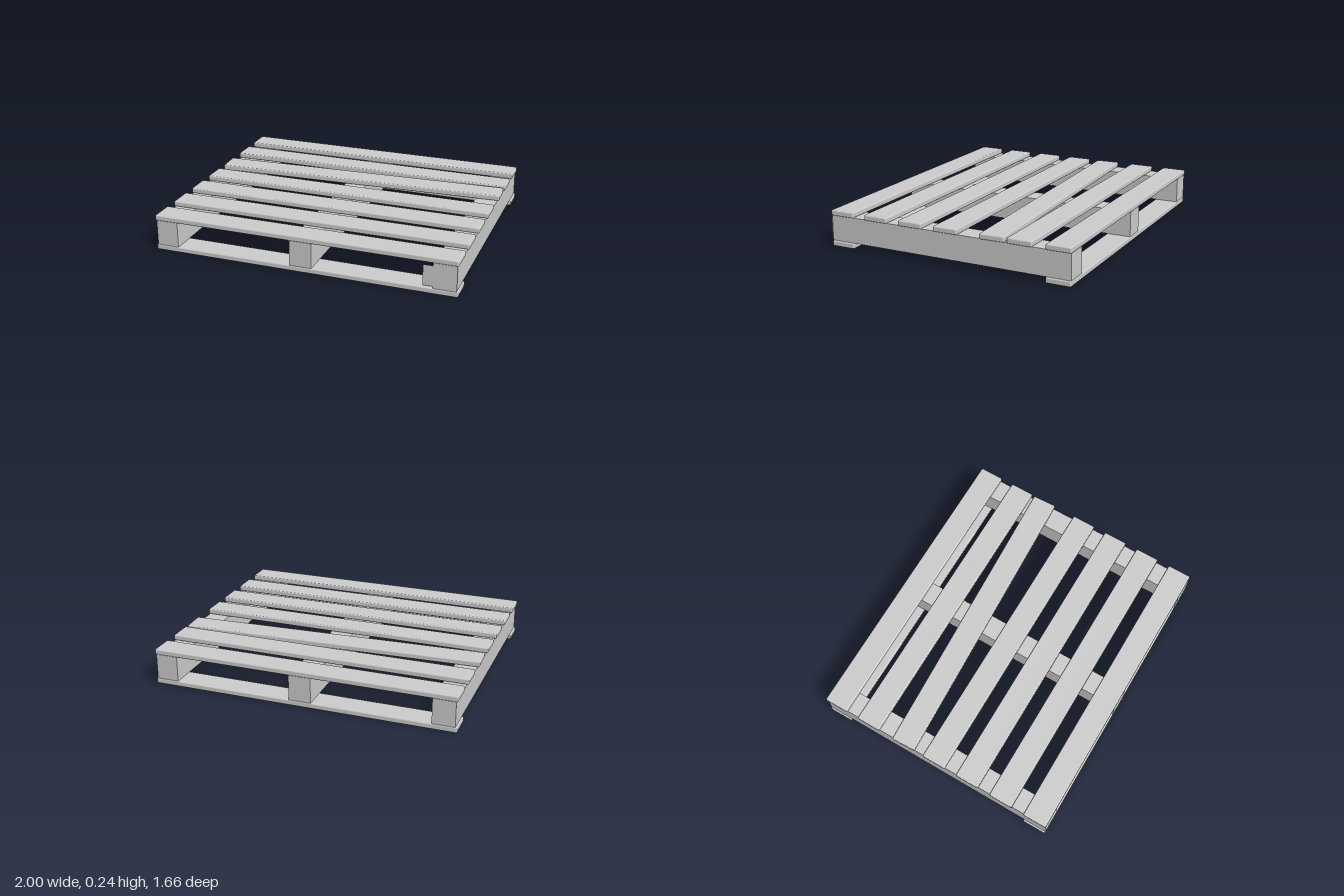
import * as THREE from 'three';
import { RoundedBoxGeometry } from 'three/addons/geometries/RoundedBoxGeometry.js';

export function createModel() {
  const pallet = new THREE.Group();
  pallet.name = 'pallet';
  const wood = new THREE.MeshStandardMaterial({ color: 0xcccccc });

  function add(name, geometry, x, y, z, material = wood) {
    const mesh = new THREE.Mesh(geometry, material);
    mesh.name = name;
    mesh.position.set(x, y, z);
    pallet.add(mesh);
    return mesh;
  }

  // Slats with softened edges, shared by the deck and the base
  const thickness = 0.036;
  const slat = new RoundedBoxGeometry(1.995, thickness, 0.163, 2, 0.008);
  const topY = 0.22;

  // Deck slats, evenly spaced except for the loose one
  for (const z of [-0.75, -0.5, 0, 0.25, 0.5, 0.75]) add('deckSlat', slat, 0, topY, z);
  add('looseDeckSlat', slat, 0, topY, -0.274).rotation.y = 0.0437;

  // Base slats at front and back
  for (const z of [-0.75, 0.75]) add('baseSlat', slat, 0, thickness / 2, z);

  // Three beams running front to back
  const beam = new THREE.BoxGeometry(0.145, 0.167, 1.66);
  for (const x of [-0.915, 0, 0.915]) add('beam', beam, x, 0.12, 0);

  // Thin tag on the front end of the left beam, overhanging inward
  const tagMaterial = new THREE.MeshStandardMaterial({ color: 0xcccccc, side: THREE.DoubleSide });
  add('tag', new THREE.PlaneGeometry(0.21, 0.135), 0.886, 0.118, 0.832, tagMaterial);

  return pallet;
}
